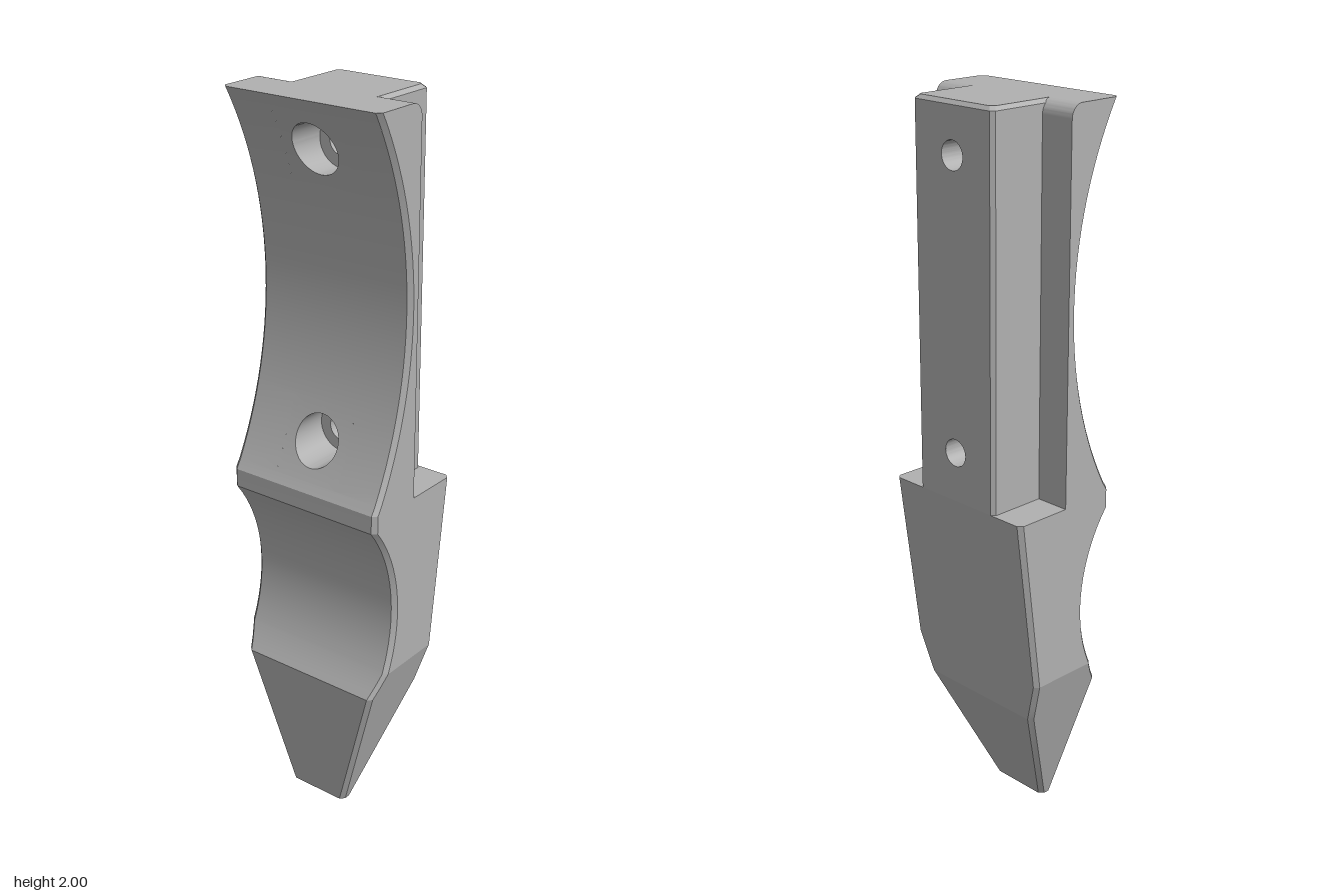
import * as THREE from 'three';
import { mergeGeometries, toCreasedNormals } from 'three/addons/utils/BufferGeometryUtils.js';

const C = 0.012;            // edge chamfer
const LEDGE = 0.97;         // height where the rear rib starts
const BACK = -0.165;        // rear plane of the rib
const RIB = 0.14;           // rib half width
const FILLET = 0.035;       // rounded rear top edge of the flanges
const HOLES = [1.105, 1.87];
const PATCH = 0.1, BORE = 0.068, THROUGH = 0.037;

const lerp = THREE.MathUtils.lerp;
const range = (a, b, n) => Array.from({ length: n + 1 }, (_, i) => lerp(a, b, i / n));

// Front outline: two scooped arcs above a flat tapering tip
function frontZ(y) {
  if (y <= 0.41) return lerp(0.113, 0.153, y / 0.41);
  if (y <= 0.93) return 0.075 + 0.44 - Math.sqrt(0.44 ** 2 - (y - 0.66) ** 2);
  if (y <= 0.98) return 0.167;
  return 0.03 + 1.03 - Math.sqrt(1.03 ** 2 - (y - 1.49) ** 2);
}
const halfWidth = (y) => (y < 0.48 ? lerp(0.092, 0.237, y / 0.48) : 0.237);
const bladeBack = (y) => (y < 0.36 ? lerp(0.072, -0.085, y / 0.36) : lerp(-0.085, BACK, (y - 0.36) / (LEDGE - 0.36)));
function flangeBack(y) {
  const t = Math.max(0, y - (2 - FILLET));
  return FILLET - Math.sqrt(Math.max(0, FILLET ** 2 - t ** 2));
}

// Right-hand halves of the cross-sections, from front to back
function bladeHalf(y) {
  const w = halfWidth(y), f = frontZ(y), b = bladeBack(y);
  return [[w - C, y, f], [w, y, f - C], [w, y, b + C], [w - C, y, b]];
}
function gripHalf(y) {
  const w = halfWidth(y), f = frontZ(y), b = flangeBack(y);
  const t = Math.max(0, y - 1.99);
  return [[w - C, y, f], [w, y, f - C], [w, y, b], [RIB - t, y, b],
    [RIB - t, y, BACK + 0.01 + t], [RIB - 0.01 - t, y, BACK + t]];
}
const mirror = (row) => row.map(([x, y, z]) => [-x, y, z]).reverse();
const whole = (half) => [...half, ...mirror(half)];

// Surface through rows of points
function sheet(rows) {
  const p = [];
  for (let i = 0; i + 1 < rows.length; i++) {
    for (let j = 0; j + 1 < rows[i].length; j++) {
      const a = rows[i][j], b = rows[i][j + 1], c = rows[i + 1][j + 1], d = rows[i + 1][j];
      p.push(...a, ...b, ...c, ...a, ...c, ...d);
    }
  }
  return new THREE.BufferGeometry().setAttribute('position', new THREE.Float32BufferAttribute(p, 3));
}
function bare(geometry) {
  const g = geometry.toNonIndexed();
  g.deleteAttribute('uv');
  g.deleteAttribute('normal');
  return g;
}
// Flat horizontal face
function cap(points, y, up) {
  const s = up ? -1 : 1;
  const shape = new THREE.Shape(points.map((q) => new THREE.Vector2(q[0], s * q[2])));
  return bare(new THREE.ShapeGeometry(shape).rotateX(s * Math.PI / 2).translate(0, y, 0));
}

// Scooped front patch running into a counterbored through hole
function boredPatch(yh) {
  const angles = range(0, Math.PI * 2, 48);
  const ring = (radius, z) => angles.map((a) => {
    const r = radius(a), y = yh + r * Math.sin(a);
    return [r * Math.cos(a), y, z === undefined ? frontZ(y) : z];
  });
  const square = (a) => PATCH / Math.max(Math.abs(Math.cos(a)), Math.abs(Math.sin(a)));
  const rows = range(0, 1, 4).map((k) => ring((a) => lerp(square(a), BORE, k)));
  rows.push(ring(() => BORE, 0), ring(() => THROUGH, 0), ring(() => THROUGH, BACK));
  return sheet(rows);
}

export function createModel() {
  const parts = [];
  const [h0, h1] = HOLES;

  // Lower blade
  const bladeYs = [0, 0.36, 0.41, ...range(0.41, 0.93, 20).slice(1), LEDGE];
  bladeYs.push(0.48);
  bladeYs.sort((a, b) => a - b);
  parts.push(sheet(bladeYs.map((y) => whole(bladeHalf(y)))));
  parts.push(cap(whole(bladeHalf(0)), 0, false));

  // Sides of the upper grip: flanges and rib
  const lowYs = [LEDGE, 0.98, h0 - PATCH];
  const hole0 = range(h0 - PATCH, h0 + PATCH, 6);
  const midYs = range(h0 + PATCH, h1 - PATCH, 16);
  const hole1 = range(h1 - PATCH, h1 + PATCH, 6);
  const topYs = [h1 + PATCH, 1.99, 2];
  const fillet = range(0, Math.PI / 2, 9).map((a) => 2 - FILLET + FILLET * Math.sin(a));
  const gripYs = [...new Set([...lowYs, ...hole0, ...midYs, ...hole1, ...topYs, ...fillet].map((y) => +y.toFixed(6)))];
  gripYs.sort((a, b) => a - b);
  const grip = gripYs.map(gripHalf);
  parts.push(sheet(grip), sheet(grip.map(mirror)));
  parts.push(cap(whole(gripHalf(2)), 2, true));

  // Ledges beside the rib
  const w = halfWidth(LEDGE);
  for (const s of [-1, 1]) {
    const corner = [[RIB - 0.01, 0, 0], [w, 0, 0], [w, 0, BACK + C], [w - C, 0, BACK], [RIB - 0.01, 0, BACK]];
    parts.push(cap(corner.map(([x, y, z]) => [s * x, y, z]), LEDGE, true));
  }

  // Front face, with room left for the bored patches
  const strip = (ys, x0, x1) => sheet(ys.map((y) => [[x0(y), y, frontZ(y)], [x1(y), y, frontZ(y)]]));
  const edge = (y) => halfWidth(y) - C;
  for (const ys of [bladeYs, lowYs, midYs, topYs]) parts.push(strip(ys, (y) => -edge(y), edge));
  for (const ys of [hole0, hole1]) {
    parts.push(strip(ys, () => PATCH, edge), strip(ys, (y) => -edge(y), () => -PATCH));
  }
  parts.push(...HOLES.map(boredPatch));

  // Rear face of the rib with the hole exits, and its top chamfer
  const r = RIB - 0.01;
  const rear = new THREE.Shape([[-r, LEDGE], [r, LEDGE], [r, 1.99], [-r, 1.99]].map((q) => new THREE.Vector2(...q)));
  for (const yh of HOLES) rear.holes.push(new THREE.Path().absarc(0, yh, THROUGH, 0, Math.PI * 2, true));
  parts.push(bare(new THREE.ShapeGeometry(rear, 48).rotateY(Math.PI).translate(0, 0, BACK)));
  parts.push(sheet([1.99, 2].map((y) => {
    const end = gripHalf(y)[5];
    return [end, [-end[0], end[1], end[2]]];
  })));

  const grey = new THREE.MeshStandardMaterial({ color: 0xb0b0b0 });
  grey.name = 'plain grey';
  const body = new THREE.Mesh(toCreasedNormals(mergeGeometries(parts), 0.2), grey);
  body.name = 'fingerBody';
  const group = new THREE.Group();
  group.name = 'scoopedFinger';
  group.add(body);
  return group;
}
